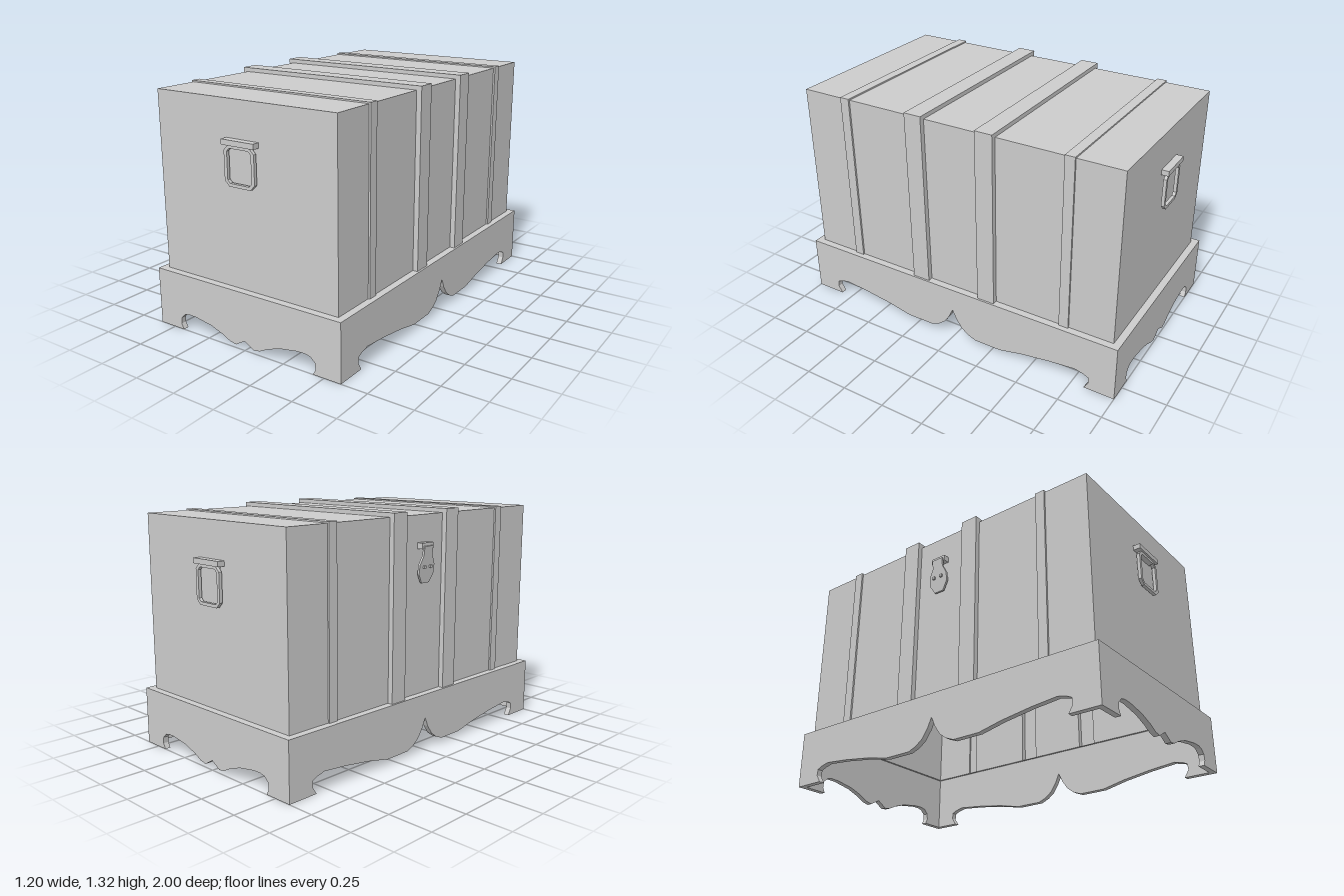
import * as THREE from 'three';

const grey = new THREE.MeshStandardMaterial({ color: 0xcccccc, side: THREE.DoubleSide, flatShading: true });
const BASE_TOP = 0.32;
const BODY = [0.56, 1.297], THIN = [0.57, 1.305], THICK = [0.589, 1.32];

function add(parent, name, geometry, x = 0, y = 0, z = 0) {
  const mesh = new THREE.Mesh(geometry, grey);
  mesh.name = name;
  mesh.position.set(x, y, z);
  parent.add(mesh);
  return mesh;
}

const box = (w, h, d) => new THREE.BoxGeometry(w, h, d);
const toPoints = (list) => list.map(([x, y]) => new THREE.Vector2(x, y));
const extrude = (shape, depth) => new THREE.ExtrudeGeometry(shape, { depth, bevelEnabled: false });

// Open-bottomed arch skin through sections [z, [halfWidth, top]]
function archSkin(sections) {
  const rings = sections.map(([z, [w, h]]) => [[-w, BASE_TOP, z], [-w, h, z], [w, h, z], [w, BASE_TOP, z]]);
  const pos = [];
  for (let r = 0; r < rings.length - 1; r++) {
    for (let i = 0; i < 3; i++) {
      const a = rings[r][i], b = rings[r][i + 1], c = rings[r + 1][i + 1], d = rings[r + 1][i];
      pos.push(...a, ...d, ...c, ...a, ...c, ...b);
    }
  }
  const g = new THREE.BufferGeometry();
  g.setAttribute('position', new THREE.Float32BufferAttribute(pos, 3));
  g.computeVertexNormals();
  return g;
}

// Skirt board with a mirrored scalloped lower edge; profile runs from foot to centre
function skirtBoard(half, profile, depth) {
  const mirrored = profile.slice(0, -1).reverse().map(([x, y]) => [-x, y]);
  return extrude(new THREE.Shape(toPoints([
    [half, 0], [half, BASE_TOP], [-half, BASE_TOP], [-half, 0],
    ...mirrored.reverse().map((p) => p), // left foot inward
    ...[...profile].reverse(),           // centre out to right foot
  ])), depth);
}

// Rectangle with cut corners
function cutRect(PathType, w, y0, y1, c) {
  return new PathType(toPoints([
    [-w + c, y0], [w - c, y0], [w, y0 + c], [w, y1 - c], [w - c, y1], [-w + c, y1], [-w, y1 - c], [-w, y0 + c],
  ]));
}

function createHandle() {
  const handle = new THREE.Group();
  handle.name = 'handle';
  add(handle, 'handleBar', box(0.204, 0.028, 0.04), 0, 1.088, 0.98);
  add(handle, 'handleHinge', box(0.14, 0.016, 0.03), 0, 1.068, 0.975);
  const ring = cutRect(THREE.Shape, 0.095, 0.865, 1.075, 0.028);
  ring.holes.push(cutRect(THREE.Path, 0.076, 0.882, 1.058, 0.016));
  add(handle, 'handleRing', extrude(ring, 0.018), 0, 0, 0.972);
  return handle;
}

function createClasp() {
  const clasp = new THREE.Group();
  clasp.name = 'clasp';
  add(clasp, 'claspHinge', box(0.09, 0.032, 0.035), 0, 0.005, 0.018);
  const plate = new THREE.Shape(toPoints([
    [-0.035, 0], [-0.035, -0.05], [-0.06, -0.1], [-0.06, -0.15], [-0.03, -0.2],
    [0.03, -0.2], [0.06, -0.15], [0.06, -0.1], [0.035, -0.05], [0.035, 0],
  ]));
  const hasp = add(clasp, 'claspPlate', extrude(plate, 0.012), 0, 0.005, 0.032);
  hasp.rotation.x = 0.11;
  for (const s of [-1, 1]) add(clasp, 'claspStaple', box(0.015, 0.015, 0.034), s * 0.025, -0.107, 0.024);
  clasp.position.set(-BODY[0], 1.13, 0);
  clasp.rotation.y = -Math.PI / 2;
  return clasp;
}

export function createModel() {
  const model = new THREE.Group();
  model.name = 'chest';

  // Base skirt: two long boards and two end boards
  const t = 0.032;
  const longProfile = [[0.825, 0], [0.85, 0.04], [0.847, 0.075], [0.82, 0.088], [0.77, 0.1], [0.62, 0.085],
    [0.45, 0.06], [0.31, 0.03], [0.15, 0.03], [0.1, 0.05], [0.06, 0.08], [0.025, 0.13], [0, 0.185]];
  const endProfile = [[0.435, 0], [0.45, 0.03], [0.447, 0.065], [0.42, 0.09], [0.39, 0.097], [0.34, 0.096],
    [0.23, 0.078], [0.15, 0.05], [0.1, 0.025], [0.06, 0.018], [0, 0.053]];
  for (const s of [-1, 1]) {
    const side = add(model, s > 0 ? 'leftSkirt' : 'rightSkirt', skirtBoard(1, longProfile, t), s * (0.6 - t));
    side.rotation.y = s * Math.PI / 2;
    const end = add(model, s > 0 ? 'frontSkirt' : 'backSkirt', skirtBoard(0.6, endProfile, t), 0, 0, s * (1 - t));
    if (s < 0) end.rotation.y = Math.PI;
  }

  // Ledge between skirt and body
  const ledge = new THREE.Shape(toPoints([[-0.6, -1], [0.6, -1], [0.6, 1], [-0.6, 1]]));
  ledge.holes.push(new THREE.Path(toPoints([[-0.555, -0.955], [0.555, -0.955], [0.555, 0.955], [-0.555, 0.955]])));
  add(model, 'ledge', new THREE.ShapeGeometry(ledge), 0, BASE_TOP, 0).rotation.x = -Math.PI / 2;

  // Hollow body in panels, with raised straps between them
  const straps = [[-0.705, -0.65, THIN], [-0.265, -0.162, THICK], [0.162, 0.265, THICK], [0.65, 0.705, THIN]];
  let z = -0.96;
  for (const [z0, z1, size] of straps) {
    add(model, 'bodyPanel', archSkin([[z, BODY], [z0, BODY]]));
    add(model, 'strap', archSkin([[z0, BODY], [z0, size], [z1, size], [z1, BODY]]));
    z = z1;
  }
  add(model, 'bodyPanel', archSkin([[z, BODY], [0.96, BODY]]));

  // End walls with handles
  const wallHeight = BODY[1] - BASE_TOP;
  for (const s of [1, -1]) {
    const end = new THREE.Group();
    end.name = s > 0 ? 'frontEnd' : 'backEnd';
    add(end, 'endWall', new THREE.PlaneGeometry(2 * BODY[0], wallHeight), 0, BASE_TOP + wallHeight / 2, 0.96);
    end.add(createHandle());
    if (s < 0) end.rotation.y = Math.PI;
    model.add(end);
  }

  model.add(createClasp());
  return model;
}
